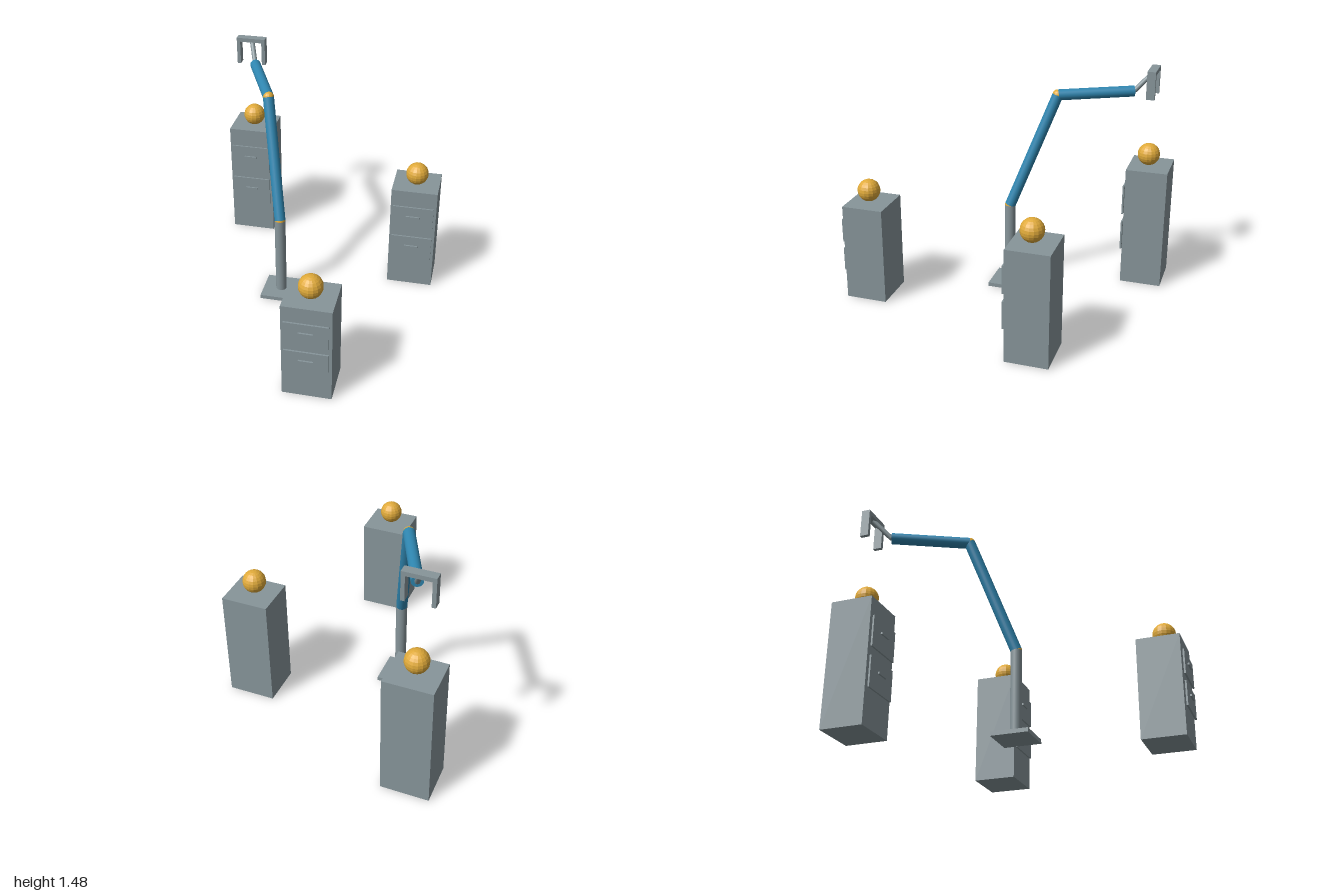
import * as THREE from 'three';

const material = (name, color) => {
  const m = new THREE.MeshStandardMaterial({ color });
  m.name = name;
  return m;
};

export function createModel() {
  const grey = material('grey metal', 0x87959a);
  const blue = material('blue arm', 0x2f86b0);
  const gold = material('gold', 0xe0aa3a);
  gold.flatShading = true;

  const add = (parent, name, geometry, mat, x, y, z) => {
    const mesh = new THREE.Mesh(geometry, mat);
    mesh.name = name;
    mesh.position.set(x, y, z);
    parent.add(mesh);
    return mesh;
  };
  const box = (parent, name, w, h, d, x, y, z) =>
    add(parent, name, new THREE.BoxGeometry(w, h, d), grey, x, y, z);

  // Cylinder running from point a to point b
  const rod = (parent, name, a, b, r, mat) => {
    const dir = b.clone().sub(a);
    const mid = a.clone().add(b).multiplyScalar(0.5);
    const mesh = add(parent, name, new THREE.CylinderGeometry(r, r, dir.length(), 24), mat, mid.x, mid.y, mid.z);
    mesh.quaternion.setFromUnitVectors(new THREE.Vector3(0, 1, 0), dir.normalize());
  };

  const model = new THREE.Group();
  model.name = 'robotArmAndCabinets';

  // Cabinets, each with two drawers and a ball on top
  const cabinets = [
    [-0.622, -0.848, 0.822],
    [0.618, -0.397, 0.736],
    [0.167, 0.848, 0.652],
  ];
  cabinets.forEach(([x, z, h], i) => {
    const cabinet = new THREE.Group();
    cabinet.name = `cabinet${i + 1}`;
    cabinet.position.set(x, 0, z);
    box(cabinet, 'body', 0.305, h, 0.275, 0, h / 2, -0.0145);
    for (const level of [0.409, 0.725]) {
      box(cabinet, 'drawerFront', 0.27, h * 0.246, 0.011, 0, h * level, 0.1355);
      box(cabinet, 'drawerHandle', 0.09, 0.013, 0.011, 0, h * (level + 0.024), 0.1465);
    }
    add(cabinet, 'ball', new THREE.SphereGeometry(0.0745, 16, 12), gold, 0, h + 0.0745, 0);
    model.add(cabinet);
  });

  // Robot arm
  const arm = new THREE.Group();
  arm.name = 'robotArm';
  model.add(arm);
  const foot = new THREE.Vector3(-0.228, 0.026, 0);
  const shoulder = new THREE.Vector3(-0.228, 0.577, 0);
  const elbow = new THREE.Vector3(-0.359, 1.328, -0.277);
  const wrist = new THREE.Vector3(-0.57, 1.337, -0.733);
  const grip = new THREE.Vector3(-0.62, 1.46, -0.846);

  box(arm, 'basePlate', 0.236, 0.026, 0.236, foot.x, 0.013, 0);
  rod(arm, 'post', foot, shoulder, 0.036, grey);
  rod(arm, 'upperArm', shoulder, elbow, 0.036, blue);
  rod(arm, 'forearm', elbow, wrist, 0.036, blue);
  rod(arm, 'wristLink', wrist, grip, 0.016, grey);
  for (const [name, p] of [['shoulderJoint', shoulder], ['elbowJoint', elbow]]) {
    add(arm, name, new THREE.SphereGeometry(0.036, 16, 12), gold, p.x, p.y, p.z);
  }

  // Gripper: crossbar with two hanging fingers
  const gripper = new THREE.Group();
  gripper.name = 'gripper';
  gripper.position.set(-0.624, 0, -0.848);
  box(gripper, 'crossbar', 0.198, 0.027, 0.056, 0, 1.4705, 0);
  for (const side of [-1, 1]) {
    box(gripper, 'finger', 0.024, 0.159, 0.056, side * 0.087, 1.3775, 0);
  }
  arm.add(gripper);

  return model;
}
